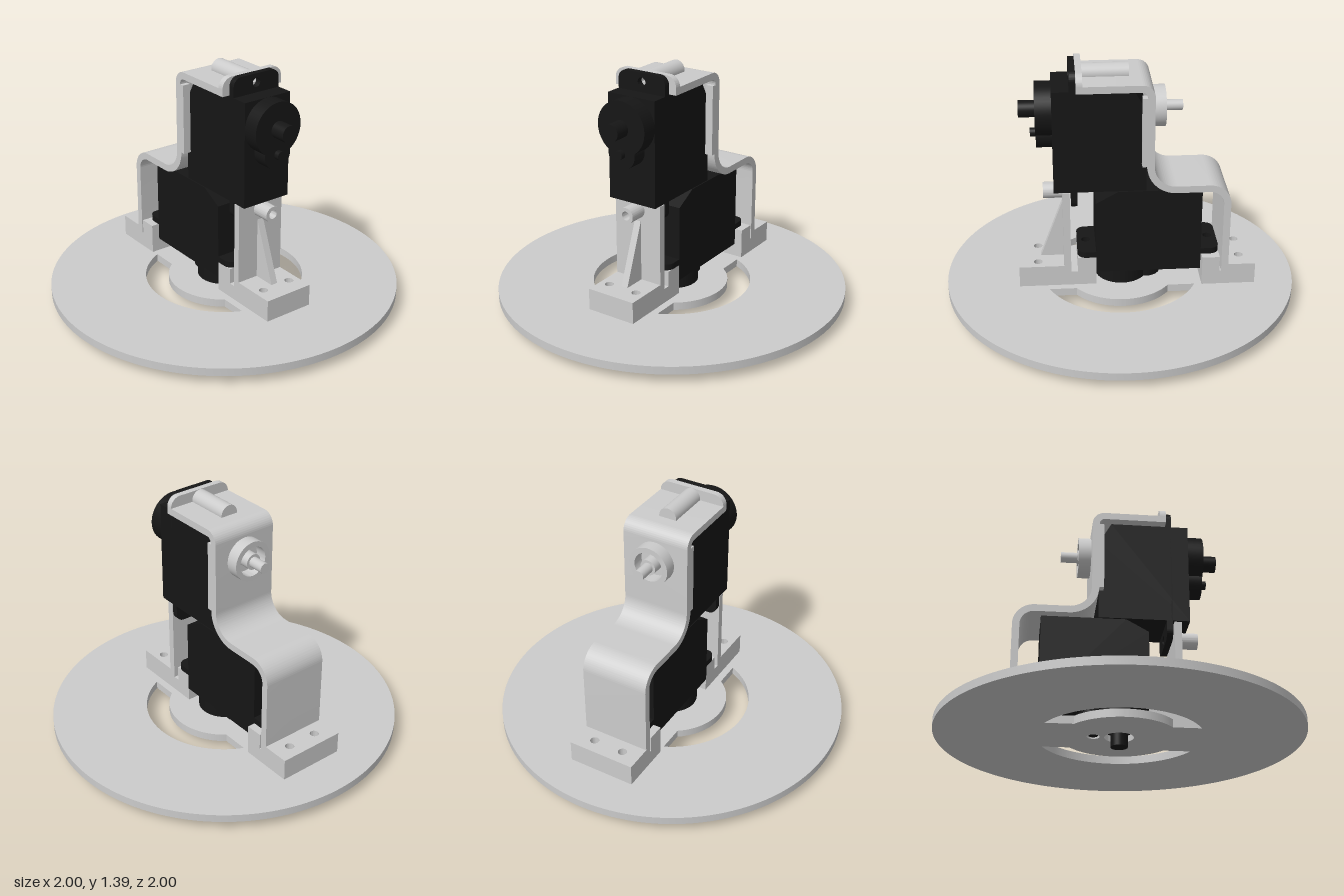
import * as THREE from 'three';
import { toCreasedNormals } from 'three/addons/utils/BufferGeometryUtils.js';

const grey = new THREE.MeshStandardMaterial({ color: 0xcccccc });
const black = new THREE.MeshStandardMaterial({ color: 0x161616 });

function add(parent, name, geometry, material) {
  const mesh = new THREE.Mesh(geometry, material);
  mesh.name = name;
  parent.add(mesh);
  return mesh;
}

// Box given by its limits
function box(x0, x1, y0, y1, z0, z1) {
  return new THREE.BoxGeometry(x1 - x0, y1 - y0, z1 - z0)
    .translate((x0 + x1) / 2, (y0 + y1) / 2, (z0 + z1) / 2);
}

function extrude(shape, depth) {
  const g = new THREE.ExtrudeGeometry(shape, { depth, bevelEnabled: false, curveSegments: 32 });
  return toCreasedNormals(g, 0.5);
}
// Outline in x,y extruded to both sides of z = 0
const alongZ = (shape, half) => extrude(shape, half * 2).translate(0, 0, -half);
// Outline in z,y extruded along x
const alongX = (shape, x0, x1) => extrude(shape, x1 - x0).rotateY(Math.PI / 2).translate(x0, 0, 0);
// Outline in x,-z extruded upwards
const alongY = (shape, y0, y1) => extrude(shape, y1 - y0).rotateX(-Math.PI / 2).translate(0, y0, 0);

const polygon = (pts) => new THREE.Shape(pts.map(([x, y]) => new THREE.Vector2(x, y)));
const circle = (x, y, r) => new THREE.Shape().absarc(x, y, r, 0, Math.PI * 2, false);

// Cylinder along x
function rod(x0, x1, y, r) {
  return new THREE.CylinderGeometry(r, r, x1 - x0, 40).rotateZ(-Math.PI / 2)
    .translate((x0 + x1) / 2, y, 0);
}
// Hollow cylinder along x
function sleeve(x0, x1, y, r, hole) {
  const s = circle(0, y, r);
  s.holes.push(circle(0, y, hole));
  return alongX(s, x0, x1);
}
// Rectangle with rounded upper corners, and lower ones if asked
function roundedPlate(w, y0, y1, r, rBottom) {
  const s = new THREE.Shape();
  s.moveTo(-w + rBottom, y0);
  s.lineTo(w - rBottom, y0);
  if (rBottom) s.absarc(w - rBottom, y0 + rBottom, rBottom, -Math.PI / 2, 0, false);
  s.lineTo(w, y1 - r);
  s.absarc(w - r, y1 - r, r, 0, Math.PI / 2, false);
  s.absarc(-w + r, y1 - r, r, Math.PI / 2, Math.PI, false);
  s.lineTo(-w, y0 + rBottom);
  if (rBottom) s.absarc(-w + rBottom, y0 + rBottom, rBottom, Math.PI, Math.PI * 1.5, false);
  return s;
}

// Servo motor: output shaft along +x, case face at x = 0
function servo(name) {
  const g = new THREE.Group();
  g.name = name;
  add(g, 'case', alongZ(polygon([[0, -0.445], [0, 0.15], [-0.44, 0.15], [-0.51, 0.025], [-0.51, -0.445]]), 0.15), black);
  const flange = roundedPlate(0.15, -0.55, 0.255, 0.05, 0.05);
  flange.holes.push(circle(0, 0.205, 0.025), circle(0, -0.5, 0.025));
  add(g, 'mountingFlange', alongX(flange, -0.13, -0.095), black);
  add(g, 'gearHousing', rod(-0.01, 0.09, 0, 0.15), black);
  add(g, 'smallGearHousing', rod(-0.01, 0.088, -0.14, 0.085), black);
  add(g, 'outputShaft', rod(0.08, 0.18, 0, 0.047), black);
  add(g, 'gearPin', rod(0.08, 0.12, -0.14, 0.025), black);
  return g;
}

// Foot block with two vertical screw holes
function foot(x0, x1, w, holeX) {
  const s = polygon([[x0, -w], [x1, -w], [x1, w], [x0, w]]);
  s.holes.push(circle(holeX, 0.09, 0.025), circle(holeX, -0.09, 0.025));
  return alongY(s, 0.1, 0.225);
}

export function createModel() {
  const model = new THREE.Group();
  model.name = 'panTiltMount';

  // Round base with two arc slots and holes for the lower shaft
  const disc = new THREE.Shape().absarc(0, 0, 1, 0, Math.PI * 2, false);
  const zEnd = 0.19, rOut = 0.455, rIn = 0.322;
  const aOut = Math.asin(zEnd / rOut), aIn = Math.asin(zEnd / rIn);
  for (const turn of [0, Math.PI]) {
    const slot = new THREE.Path();
    slot.absarc(0, 0, rOut, turn + aOut, turn + Math.PI - aOut, false);
    slot.absarc(0, 0, rIn, turn + Math.PI - aIn, turn + aIn, true);
    slot.closePath();
    disc.holes.push(slot);
  }
  disc.holes.push(circle(-0.005, 0, 0.08), circle(-0.145, 0, 0.035));
  const base = new THREE.ExtrudeGeometry(disc, { depth: 0.045, bevelEnabled: false, curveSegments: 96 });
  add(model, 'baseDisc', toCreasedNormals(base, 0.5).rotateX(-Math.PI / 2).translate(0, 0.055, 0), grey);

  // Lower servo points down, upper servo points to the side
  const lower = servo('lowerServo');
  lower.rotation.z = -Math.PI / 2;
  lower.position.set(-0.005, 0.18, 0);
  const upper = servo('upperServo');
  upper.position.set(0.375, 1.14, 0);
  model.add(lower, upper);

  // Bent strap bracket over both servos
  const q = Math.PI / 2;
  const strap = new THREE.Shape();
  strap.moveTo(-0.565, 0.1);
  strap.lineTo(-0.605, 0.1);
  strap.lineTo(-0.605, 0.615);
  strap.absarc(-0.485, 0.615, 0.12, Math.PI, q, true);
  strap.lineTo(-0.3, 0.735);
  strap.absarc(-0.3, 0.86, 0.125, -q, 0, false);
  strap.lineTo(-0.175, 1.265);
  strap.absarc(-0.105, 1.265, 0.07, Math.PI, q, true);
  strap.lineTo(0.245, 1.335);
  strap.lineTo(0.245, 1.295);
  strap.lineTo(-0.105, 1.295);
  strap.absarc(-0.105, 1.265, 0.03, q, Math.PI, false);
  strap.lineTo(-0.135, 0.86);
  strap.absarc(-0.3, 0.86, 0.165, 0, -q, true);
  strap.lineTo(-0.485, 0.695);
  strap.absarc(-0.485, 0.615, 0.08, q, Math.PI, false);
  add(model, 'strapBracket', alongZ(strap, 0.195), grey);
  for (const s of [-1, 1]) {
    const z = s * 0.1725;
    add(model, 'servoLip', box(-0.14, -0.108, 0.86, 1.26, z - 0.0225, z + 0.0225), grey);
  }

  // Top end plate and its screw boss
  const endPlate = roundedPlate(0.195, 1.295, 1.395, 0.06, 0);
  endPlate.holes.push(circle(0, 1.345, 0.025));
  add(model, 'topEndPlate', alongX(endPlate, 0.21, 0.245), grey);
  add(model, 'topScrewBoss', rod(-0.045, 0.212, 1.342, 0.052), grey);

  // Pivot cup and pin opposite the upper shaft
  add(model, 'pivotCup', sleeve(-0.245, -0.17, 1.14, 0.115, 0.085), grey);
  add(model, 'pivotHub', rod(-0.25, -0.17, 1.14, 0.045), grey);
  add(model, 'pivotPin', rod(-0.343, -0.17, 1.14, 0.03), grey);

  // Feet on the base
  add(model, 'rightFoot', foot(-0.76, -0.6, 0.195, -0.68), grey);
  add(model, 'rightFootFloor', box(-0.57, -0.455, 0.1, 0.185, -0.195, 0.195), grey);
  add(model, 'rightServoSeat', box(-0.555, -0.455, 0.18, 0.275, -0.195, 0.195), grey);
  add(model, 'leftFoot', foot(0.32, 0.583, 0.148, 0.475), grey);
  add(model, 'leftFootFloor', box(0.145, 0.295, 0.1, 0.185, -0.148, 0.148), grey);
  add(model, 'leftServoSeat', box(0.145, 0.25, 0.18, 0.275, -0.148, 0.148), grey);

  // Upright post with gusset and screw boss
  const post = polygon([[-0.148, 0.1], [0.148, 0.1], [0.148, 0.69], [-0.148, 0.69]]);
  post.holes.push(circle(0, 0.64, 0.025));
  add(model, 'post', alongX(post, 0.288, 0.328), grey);
  add(model, 'postGusset', alongZ(polygon([[0.32, 0.22], [0.46, 0.22], [0.328, 0.575], [0.32, 0.575]]), 0.02), grey);
  add(model, 'postScrewBoss', sleeve(0.325, 0.435, 0.64, 0.046, 0.025), grey);

  return model;
}
